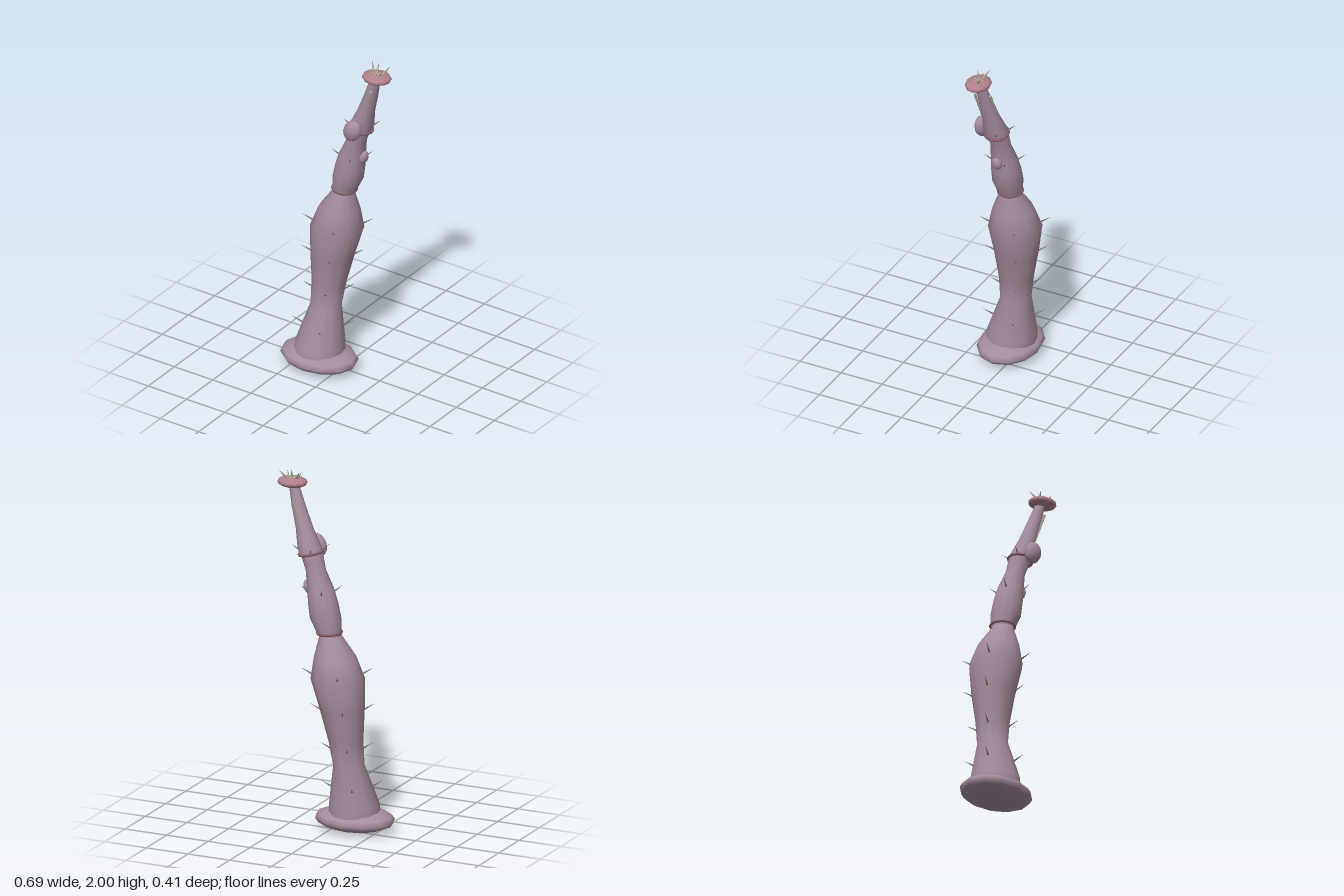
import * as THREE from 'three';

const mat = (color) => new THREE.MeshStandardMaterial({ color });
const SKIN = mat(0xa58c9e), PINK = mat(0xb0808c), RING = mat(0x8a5f6a), SPINE = mat(0xb5ad96), THORN = mat(0x857a78);
const SIDES = 12;

// cross-sections along the limb: [x, y, z, radius]
const LOWER = [[-0.117, 0.09, 0.035, 0.14], [-0.117, 0.15, 0.033, 0.138], [-0.1, 0.38, 0, 0.085], [-0.087, 0.52, -0.01, 0.095],
  [-0.07, 0.7, -0.02, 0.122], [-0.045, 0.87, -0.025, 0.147], [-0.028, 0.99, -0.022, 0.115], [0, 1.1, -0.018, 0.063], [0.008, 1.14, -0.02, 0.055]];
const MIDDLE = [[0.005, 1.11, -0.02, 0.066], [0.03, 1.2, -0.02, 0.085], [0.045, 1.28, -0.018, 0.082],
  [0.062, 1.36, -0.015, 0.073], [0.093, 1.46, -0.01, 0.055], [0.125, 1.56, -0.002, 0.062]];
const UPPER = [[0.122, 1.535, -0.003, 0.064], [0.135, 1.58, 0, 0.066], [0.17, 1.68, 0.01, 0.048],
  [0.212, 1.8, 0.022, 0.038], [0.243, 1.9, 0.034, 0.029], [0.25, 1.93, 0.038, 0.028]];

function add(group, name, geometry, material) {
  const mesh = new THREE.Mesh(geometry, material);
  mesh.name = name;
  group.add(mesh);
  return mesh;
}

// smooth tube through round sections
function loft(sections) {
  const pos = [], index = [];
  sections.forEach(([x, y, z, r], j) => {
    for (let i = 0; i < SIDES; i++) {
      const a = (i / SIDES) * Math.PI * 2;
      pos.push(x + r * Math.cos(a), y, z + r * Math.sin(a));
      if (j === 0) continue;
      const n = (i + 1) % SIDES, lo = (j - 1) * SIDES, hi = j * SIDES;
      index.push(lo + i, hi + i, lo + n, hi + i, hi + n, lo + n);
    }
  });
  const g = new THREE.BufferGeometry();
  g.setAttribute('position', new THREE.Float32BufferAttribute(pos, 3));
  g.setIndex(index);
  g.computeVertexNormals();
  return g;
}

// cone from a base point to a tip
function spike(group, name, from, to, radius, material, sides = 5) {
  const a = new THREE.Vector3(...from), d = new THREE.Vector3(...to).sub(a);
  const g = new THREE.ConeGeometry(radius, d.length(), sides).translate(0, d.length() / 2, 0);
  const mesh = add(group, name, g, material);
  mesh.position.copy(a);
  mesh.quaternion.setFromUnitVectors(new THREE.Vector3(0, 1, 0), d.normalize());
}

function ellipsoid(group, name, center, radii, material, w = 12, h = 8) {
  const mesh = add(group, name, new THREE.SphereGeometry(1, w, h), material);
  mesh.position.set(...center);
  mesh.scale.set(...radii);
  return mesh;
}

// section of a list of sections at height y
function sectionAt(sections, y) {
  let k = 1;
  while (k < sections.length - 1 && sections[k][1] < y) k++;
  const a = sections[k - 1], b = sections[k], t = (y - a[1]) / (b[1] - a[1]);
  return a.map((v, i) => v + (b[i] - v) * t);
}

export function createModel() {
  const model = new THREE.Group();
  model.name = 'thornyStalk';

  // flat foot and three limb segments
  ellipsoid(model, 'foot', [-0.117, 0.068, 0.04], [0.228, 0.063, 0.172], SKIN);
  add(model, 'lowerStalk', loft(LOWER), SKIN);
  add(model, 'middleStalk', loft(MIDDLE), SKIN);
  add(model, 'upperStalk', loft(UPPER), SKIN);

  // joint rings, square to the leaning stalk
  for (const [x, y, z, r, lean] of [[0.006, 1.122, -0.022, 0.066, -0.06], [0.127, 1.55, -0.002, 0.065, -0.2]]) {
    const ring = add(model, 'jointRing', new THREE.TorusGeometry(r, 0.008, 6, 16).rotateX(Math.PI / 2), RING);
    ring.position.set(x, y, z);
    ring.rotation.z = lean;
  }

  // swollen buds
  ellipsoid(model, 'largeBud', [0.13, 1.57, 0.086], [0.052, 0.068, 0.036], SKIN).rotation.z = -0.45;
  ellipsoid(model, 'smallBud', [0.14, 1.36, -0.01], [0.022, 0.04, 0.031], SKIN).rotation.z = -0.25;

  // thorns, four around each level
  const levels = [[LOWER, 0.25], [LOWER, 0.47], [LOWER, 0.69], [LOWER, 0.89], [MIDDLE, 1.34], [UPPER, 1.56]];
  for (const [part, level] of levels) {
    const [x, y, z, r] = sectionAt(part, level);
    const len = level < 1 ? 0.055 : 0.04;
    for (let i = 0; i < 4; i++) {
      const a = 1.12 + (i * Math.PI) / 2, c = Math.cos(a), s = Math.sin(a);
      spike(model, 'thorn', [x + (r - 0.012) * c, y, z + (r - 0.012) * s],
        [x + (r + len) * c, y + 0.04, z + (r + len) * s], 0.006, THORN);
    }
  }

  // long splinters beside the upper stalk, widest at the top
  spike(model, 'splinter', [0.242, 1.84, 0.07], [0.17, 1.61, 0.048], 0.008, SPINE, 4);
  spike(model, 'splinter', [0.225, 1.84, -0.015], [0.14, 1.6, -0.04], 0.009, SPINE, 4);

  // cap with radial ribs and upright spines
  const cap = new THREE.Group();
  cap.name = 'cap';
  cap.position.set(0.258, 1.922, 0.04);
  model.add(cap);
  ellipsoid(cap, 'capDisc', [0, 0, 0], [0.086, 0.03, 0.07], PINK);
  for (let i = 0; i < 6; i++) {
    const a = Math.PI / 6 + (i * Math.PI) / 3, c = Math.cos(a), s = Math.sin(a);
    spike(cap, 'capRib', [0.012 * c, 0.029, 0.01 * s], [0.075 * c, 0.018, 0.063 * s], 0.006, SPINE);
  }
  for (const side of [-1, 1]) {
    spike(cap, 'capSpine', [side * 0.03, 0.022, -0.012], [side * 0.062, 0.072, -0.044], 0.009, SPINE);
    spike(cap, 'capSpine', [side * 0.028, 0.022, 0.012], [side * 0.045, 0.058, 0.028], 0.006, SPINE);
  }
  spike(cap, 'capSpine', [0, 0.022, 0], [-0.006, 0.078, -0.03], 0.009, SPINE);
  return model;
}
